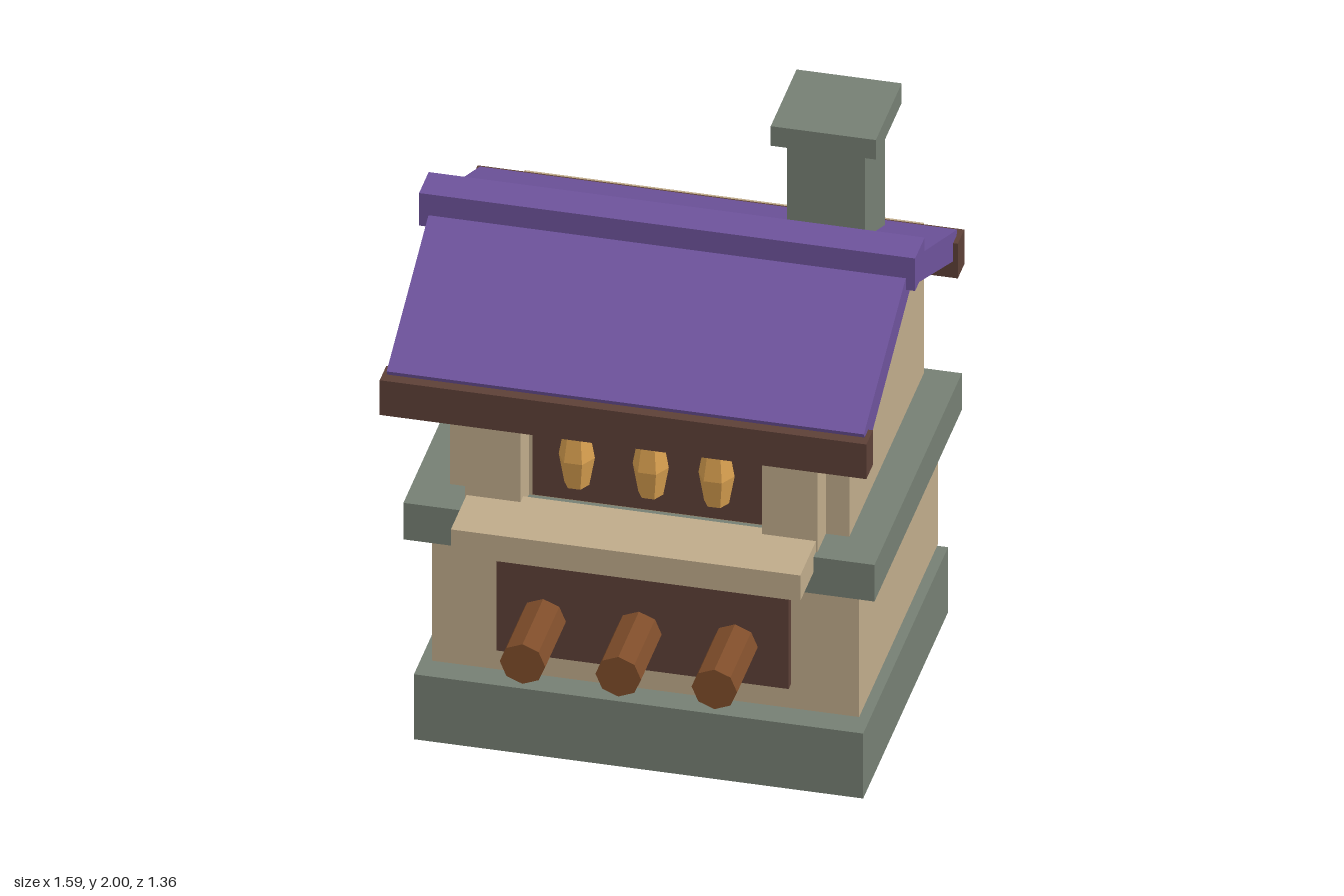
import * as THREE from 'three';

const mat = (name, color, flatShading = false) => {
  const m = new THREE.MeshStandardMaterial({ color, flatShading });
  m.name = name;
  return m;
};

export function createModel() {
  const stone = mat('stone', 0x757f73);
  const plaster = mat('plaster', 0xbfab8a);
  const darkWood = mat('dark wood', 0x5d4037);
  const logWood = mat('log wood', 0x7e4d2a, true);
  const gold = mat('gold', 0xd9a050, true);
  const purple = mat('purple roof', 0x6d529b);

  const house = new THREE.Group();
  house.name = 'house';

  const add = (name, geometry, material, x = 0, y = 0, z = 0) => {
    const mesh = new THREE.Mesh(geometry, material);
    mesh.name = name;
    mesh.position.set(x, y, z);
    house.add(mesh);
    return mesh;
  };
  // Box given by its lower and upper limits on each axis
  const box = (name, material, [x0, x1], [y0, y1], [z0, z1]) =>
    add(name, new THREE.BoxGeometry(x1 - x0, y1 - y0, z1 - z0), material,
      (x0 + x1) / 2, (y0 + y1) / 2, (z0 + z1) / 2);

  // Walls and stone courses
  box('foundation', stone, [-0.72, 0.72], [0, 0.24], [-0.64, 0.47]);
  box('lowerStorey', plaster, [-0.685, 0.685], [0.24, 0.73], [-0.65, 0.38]);
  box('stoneBand', stone, [-0.755, 0.755], [0.73, 0.865], [-0.677, 0.465]);
  box('upperStorey', plaster, [-0.64, 0.64], [0.865, 1.42], [-0.65, 0.325]);

  // Window opening with sill, jambs and slanted head stones
  box('windowPanel', darkWood, [-0.37, 0.37], [0.88, 1.37], [0.3, 0.345]);
  box('windowSill', plaster, [-0.56, 0.56], [0.81, 0.905], [0.4, 0.64]);
  for (const side of [-1, 1]) {
    const inner = side * 0.387, outer = side * 0.565;
    box('windowJamb', plaster, [Math.min(inner, outer), Math.max(inner, outer)],
      [0.865, 1.27], [0.3, 0.435]);
    const head = add('windowHead', new THREE.BoxGeometry(0.275, 0.19, 0.134), plaster,
      side * 0.298, 1.35, 0.373);
    head.rotation.z = side * 0.213;
  }

  // Six-sided lanterns in the window
  const lanternProfile = [[0, -0.102], [0.04, -0.102], [0.058, 0], [0.04, 0.102], [0, 0.102]]
    .map(([r, y]) => new THREE.Vector2(r, y));
  for (const x of [-0.222, 0.015, 0.226]) {
    const lantern = add('lantern', new THREE.LatheGeometry(lanternProfile, 6), gold, x, 1.063, 0.372);
    lantern.rotation.y = Math.PI / 6;
  }

  // Board with three projecting logs
  box('logBoard', darkWood, [-0.47, 0.467], [0.33, 0.667], [0.36, 0.412]);
  for (const x of [-0.32, -0.013, 0.295]) {
    const log = add('log', new THREE.CylinderGeometry(0.073, 0.073, 0.3, 8), logWood, x, 0.47, 0.532);
    log.rotation.x = Math.PI / 2;
  }

  // Roof: a chevron section (z, y) drawn out along x
  const section = new THREE.Shape([
    [-0.61, 1.46], [-0.565, 1.372], [0, 1.625], [0.565, 1.372], [0.61, 1.46], [0, 1.725],
  ].map(([z, y]) => new THREE.Vector2(z, y)));
  const roofGeometry = new THREE.ExtrudeGeometry(section, { depth: 1.53, bevelEnabled: false });
  roofGeometry.translate(0, 0, -0.765).rotateY(Math.PI / 2);
  add('roof', roofGeometry, purple, 0, 0, 0.034);
  box('roofRidge', purple, [-0.795, 0.795], [1.655, 1.775], [-0.028, 0.097]);
  box('frontEaveBeam', darkWood, [-0.78, 0.78], [1.315, 1.443], [0.588, 0.673]);
  box('backEaveBeam', darkWood, [-0.78, 0.78], [1.315, 1.443], [-0.607, -0.522]);

  // Chimney
  box('chimney', stone, [0.303, 0.553], [1.35, 1.93], [-0.493, -0.235]);
  box('chimneyCap', stone, [0.26, 0.597], [1.928, 2], [-0.535, -0.197]);

  return house;
}
